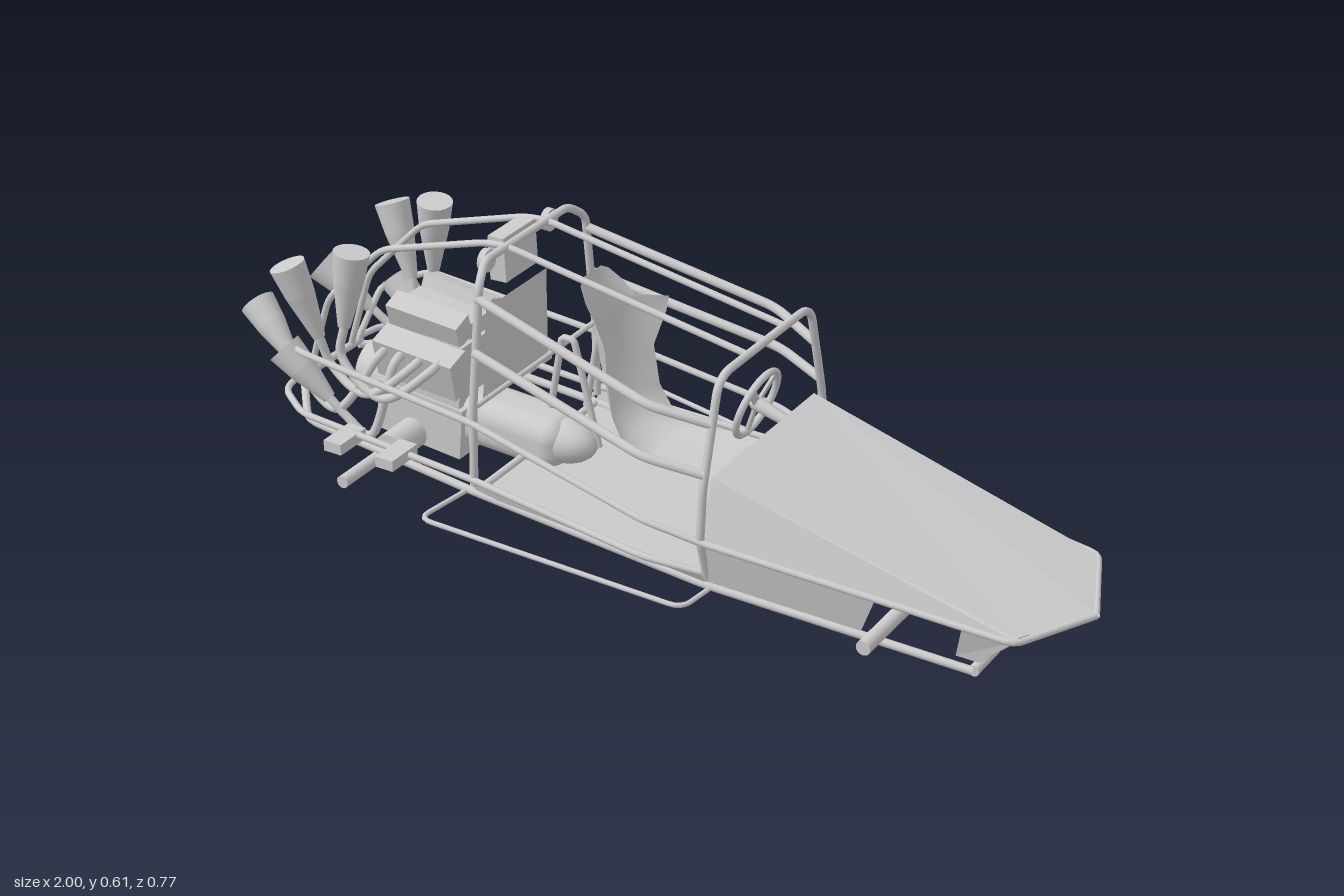
import * as THREE from 'three';
import { RoundedBoxGeometry } from 'three/addons/geometries/RoundedBoxGeometry.js';

const V = (p) => new THREE.Vector3(...p);

export function createModel() {
  const model = new THREE.Group();
  model.name = 'tubeFrameBuggy';
  const metal = new THREE.MeshStandardMaterial({ color: 0xcccccc });
  const thin = new THREE.MeshStandardMaterial({ color: 0xcccccc, side: THREE.DoubleSide });

  const add = (name, geometry, pos = [0, 0, 0], rot = [0, 0, 0], material = metal) => {
    const m = new THREE.Mesh(geometry, material);
    m.name = name;
    m.position.set(...pos);
    m.rotation.set(...rot);
    model.add(m);
    return m;
  };
  const box = (name, size, pos, rot) => add(name, new THREE.BoxGeometry(...size), pos, rot);

  // Bent pipe: straight runs joined by short rounded corners
  const pipe = (name, pts, r = 0.0075, bend = 0.03) => {
    const p = pts.map(V);
    const path = new THREE.CurvePath();
    let from = p[0];
    for (let i = 1; i < p.length; i++) {
      if (i === p.length - 1) { path.add(new THREE.LineCurve3(from, p[i])); break; }
      const cut = (q) => {
        const d = q.clone().sub(p[i]);
        return p[i].clone().addScaledVector(d, Math.min(bend, d.length() * 0.4) / d.length());
      };
      const a = cut(p[i - 1]), b = cut(p[i + 1]);
      path.add(new THREE.LineCurve3(from, a));
      path.add(new THREE.QuadraticBezierCurve3(a, p[i], b));
      from = b;
    }
    const steps = p.length === 2 ? 1 : Math.min(140, p.length * 18);
    return add(name, new THREE.TubeGeometry(path, steps, r, 10), undefined, undefined, thin);
  };
  const mirror = (pts, s) => pts.map(([x, y, z]) => [x, y, z * s]);
  const pair = (name, pts, r, bend) => {
    for (const s of [1, -1]) pipe((s > 0 ? 'left' : 'right') + name, mirror(pts, s), r, bend);
  };

  // Flat sheet metal: each polygon becomes a triangle fan
  const sheet = (name, ...polys) => {
    const v = [];
    for (const q of polys) for (let i = 1; i < q.length - 1; i++) v.push(...q[0], ...q[i], ...q[i + 1]);
    const g = new THREE.BufferGeometry();
    g.setAttribute('position', new THREE.Float32BufferAttribute(v, 3));
    g.computeVertexNormals();
    return add(name, g, undefined, undefined, thin);
  };

  // Cylinder or cone between two points
  const rod = (name, a, b, r0, r1 = r0) => {
    const d = V(b).sub(V(a));
    const m = add(name, new THREE.CylinderGeometry(r1, r0, d.length(), 20), V(a).addScaledVector(d, 0.5).toArray());
    m.quaternion.setFromUnitVectors(new THREE.Vector3(0, 1, 0), d.normalize());
    return m;
  };

  // Roll hoops
  pipe('mainHoop', [[-0.32, 0.12, -0.24], [-0.32, 0.3, -0.235], [-0.32, 0.57, -0.2], [-0.335, 0.603, -0.155],
    [-0.335, 0.603, 0.155], [-0.32, 0.57, 0.2], [-0.32, 0.3, 0.235], [-0.32, 0.12, 0.24]], 0.009, 0.02);
  pipe('frontHoop', [[0.24, 0.05, -0.22], [0.24, 0.165, -0.255], [0.24, 0.28, -0.245], [0.24, 0.485, -0.19], [0.24, 0.505, -0.16],
    [0.24, 0.505, 0.16], [0.24, 0.485, 0.19], [0.24, 0.28, 0.245], [0.24, 0.165, 0.255], [0.24, 0.05, 0.22]], 0.009, 0.02);
  pipe('mainHoopCrossBar', [[-0.32, 0.3, -0.235], [-0.32, 0.3, 0.235]], 0.006);

  // Long rails, one of each per side
  pair('RoofRail', [[0.24, 0.507, 0.075], [-0.335, 0.603, 0.075], [-0.39, 0.598, 0.075],
    [-0.66, 0.515, 0.075], [-0.81, 0.36, 0.075], [-0.87, 0.17, 0.075]]);
  pair('UpperSideRail', [[-0.32, 0.54, 0.205], [0.12, 0.44, 0.255], [0.24, 0.41, 0.21]], 0.0105);
  pair('MiddleSideRail', [[-0.32, 0.425, 0.225], [0.12, 0.335, 0.278], [0.24, 0.31, 0.24]], 0.0105);
  pair('BeltRail', [[-0.87, 0.17, 0.1], [-0.85, 0.28, 0.17], [-0.76, 0.31, 0.235], [-0.32, 0.27, 0.245],
    [0.12, 0.19, 0.28], [0.24, 0.163, 0.257], [0.91, 0.113, 0.195], [0.994, 0.1, 0]], 0.0075, 0.02);
  pair('SillRail', [[-0.87, 0.175, 0.1], [-0.86, 0.172, 0.18], [-0.77, 0.165, 0.24], [-0.32, 0.135, 0.245],
    [0.12, 0.105, 0.28], [0.24, 0.09, 0.25]]);
  pair('FloorRail', [[-0.87, 0.155, 0.1], [-0.77, 0.14, 0.22], [-0.32, 0.1, 0.235], [0.24, 0.05, 0.23], [0.82, 0.012, 0.18]], 0.009);
  pair('SideBar', [[-0.34, 0.1, 0.23], [-0.36, 0.1, 0.385], [0.24, 0.045, 0.325], [0.25, 0.045, 0.23]], 0.0055);
  for (const [x, y, z, r] of [[-0.87, 0.165, 0.11, 0.009], [-0.32, 0.1, 0.235, 0.009], [0.24, 0.05, 0.23, 0.009],
    [0.5, 0.033, 0.205, 0.007], [0.82, 0.012, 0.18, 0.012]])
    rod('floorCrossTube', [x, y, -z], [x, y, z], r);

  // Cockpit floor
  sheet('floorPan', [[-0.33, 0.1, -0.235], [-0.33, 0.1, 0.235], [0.24, 0.052, 0.23], [0.24, 0.052, -0.23]],
    [[0.24, 0.052, -0.23], [0.24, 0.052, 0.23], [0.4, 0.042, 0.21], [0.4, 0.042, -0.21]]);

  // Nose bodywork
  sheet('hood', [[0.24, 0.29, -0.21], [0.24, 0.29, 0.21], [0.91, 0.12, 0.185], [0.995, 0.105, 0], [0.91, 0.12, -0.185]]);
  for (const s of [1, -1]) {
    sheet('hoodSide', mirror([[0.24, 0.29, 0.21], [0.24, 0.165, 0.25], [0.91, 0.115, 0.19], [0.91, 0.12, 0.185]], s));
    sheet('noseSide', mirror([[0.24, 0.165, 0.25], [0.24, 0.055, 0.23], [0.58, 0.035, 0.2], [0.62, 0.137, 0.215]], s),
      mirror([[0.91, 0.115, 0.19], [0.83, 0.035, 0.18], [0.78, 0.035, 0.18], [0.8, 0.12, 0.2]], s));
    sheet('nosePlate', mirror([[0.91, 0.115, 0.19], [0.995, 0.1, 0], [0.87, 0.02, 0], [0.83, 0.035, 0.18]], s));
    sheet('cockpitSidePanel', mirror([[-0.32, 0.1, 0.235], [-0.32, 0.135, 0.245], [0.12, 0.105, 0.278], [0.24, 0.09, 0.25], [0.24, 0.052, 0.23]], s));
  }

  // Panels behind the driver
  sheet('firewall', [[-0.322, 0.505, 0.175], [-0.322, 0.305, 0.195], [-0.322, 0.305, -0.05], [-0.322, 0.505, -0.05]]);
  box('oilCooler', [0.04, 0.1, 0.12], [-0.375, 0.555, -0.005], [0, 0, 0.05]);
  for (const s of [1, -1]) rod('rearLamp', [-0.365, 0.583, s * 0.117], [-0.35, 0.583, s * 0.117], 0.025);

  // Bucket seat, bent from a plane by rows of [x, y, half width, edge curl]
  const rows = [[-0.24, 0.497, 0.035, 0], [-0.238, 0.485, 0.055, 0.005], [-0.23, 0.455, 0.072, 0.02], [-0.218, 0.42, 0.08, 0.035],
    [-0.215, 0.4, 0.132, 0.085], [-0.21, 0.37, 0.122, 0.08], [-0.2, 0.3, 0.095, 0.055], [-0.175, 0.21, 0.095, 0.045],
    [-0.13, 0.15, 0.1, 0.035], [-0.05, 0.14, 0.1, 0.015], [0.11, 0.15, 0.095, 0.005]];
  const seat = new THREE.PlaneGeometry(2, 1, 10, rows.length - 1);
  const sp = seat.attributes.position;
  for (let i = 0; i < sp.count; i++) {
    const [x, y, w, curl] = rows[Math.floor(i / 11)];
    const u = sp.getX(i);
    sp.setXYZ(i, x + curl * u * u, y + curl * 0.15 * u * u, -0.1 + w * u);
  }
  seat.computeVertexNormals();
  add('seat', seat, undefined, undefined, thin);
  for (const z of [-0.18, -0.02])
    pipe('seatSupport', [[-0.31, 0.12, z], [-0.265, 0.37, z], [-0.235, 0.37, z], [-0.175, 0.13, z]], 0.008, 0.006);

  // Steering wheel with three spokes and column
  const wheel = new THREE.Group();
  wheel.name = 'steeringWheel';
  const rim = new THREE.Mesh(new THREE.TorusGeometry(0.077, 0.008, 10, 36), metal);
  rim.name = 'wheelRim';
  const hub = new THREE.Mesh(new THREE.SphereGeometry(0.016, 14, 10), metal);
  hub.name = 'wheelHub';
  wheel.add(rim, hub);
  for (const a of [-Math.PI / 2, 0.85, Math.PI - 0.85]) {
    const spoke = new THREE.Mesh(new THREE.BoxGeometry(0.075, 0.018, 0.006), metal);
    spoke.name = 'wheelSpoke';
    spoke.position.set(Math.cos(a) * 0.04, Math.sin(a) * 0.04, 0);
    spoke.rotation.z = a;
    wheel.add(spoke);
  }
  wheel.position.set(0.165, 0.295, -0.1);
  wheel.rotation.y = Math.PI / 2;
  wheel.rotateX(0.3);
  model.add(wheel);
  rod('steeringColumn', [0.165, 0.295, -0.1], [0.26, 0.265, -0.1], 0.016, 0.01);

  // Axle beams and suspension stubs
  rod('frontAxleBeam', [0.64, 0.073, -0.305], [0.64, 0.073, 0.305], 0.016);
  rod('rearAxle', [-0.577, 0.107, -0.357], [-0.577, 0.107, 0.357], 0.014);
  for (const s of [1, -1]) {
    rod('rearHub', [-0.577, 0.107, s * 0.1], [-0.577, 0.107, s * 0.19], 0.035);
    for (const x of [-0.64, -0.505]) box('suspensionStub', [0.045, 0.025, 0.09], [x, 0.147, s * 0.26]);
  }

  // Engine and gearbox
  box('crankcase', [0.22, 0.12, 0.16], [-0.575, 0.13, 0], [0, 0, -0.09]);
  box('engineBlock', [0.19, 0.16, 0.15], [-0.56, 0.26, 0], [0, 0, -0.09]);
  for (const s of [1, -1]) {
    box('cylinderHead', [0.2, 0.1, 0.06], [-0.555, 0.28, s * 0.09], [s * 0.3, 0, -0.09]);
    box('valveCover', [0.18, 0.06, 0.05], [-0.553, 0.37, s * 0.06], [s * 0.35, 0, -0.09]);
  }
  box('intakeManifold', [0.18, 0.05, 0.07], [-0.555, 0.355, 0], [0, 0, -0.09]);
  rod('flywheelHousing', [-0.76, 0.18, 0], [-0.66, 0.175, 0], 0.06, 0.075);
  add('gearbox', new RoundedBoxGeometry(0.28, 0.12, 0.13, 4, 0.045), [-0.37, 0.138, 0], [0, 0, -0.05]);
  add('gearboxNose', new THREE.SphereGeometry(0.05, 18, 12).scale(1.7, 1, 1.1), [-0.255, 0.137, 0]);

  // Eight exhaust headers ending in flared megaphones: [start, end]
  const horns = [[[-0.7, 0.36, 0.165], [-0.68, 0.535, 0.152]], [[-0.765, 0.32, 0.17], [-0.825, 0.485, 0.19]],
    [[-0.73, 0.19, 0.19], [-0.835, 0.29, 0.205]], [[-0.86, 0.23, 0.145], [-0.975, 0.325, 0.115]]];
  for (const s of [1, -1]) horns.forEach((horn, i) => {
    const [start, end] = mirror(horn, s);
    const port = [-0.49 - i * 0.045, 0.31, s * 0.1];
    const back = V(start).sub(V(end)).multiplyScalar(0.4).add(V(start));
    const low = [(port[0] + back.x) / 2, Math.min(0.25, back.y) - 0.03, s * 0.18];
    const bend = new THREE.CatmullRomCurve3([V(port), V([port[0], 0.3, s * 0.15]), V(low), back, V(start)]);
    add('exhaustHeader', new THREE.TubeGeometry(bend, 32, 0.01, 10));
    const flare = V(start).lerp(V(end), 0.6).toArray();
    rod('megaphone', start, flare, 0.014, 0.033);
    rod('megaphoneTip', flare, end, 0.033, 0.04);
  });
  return model;
}
